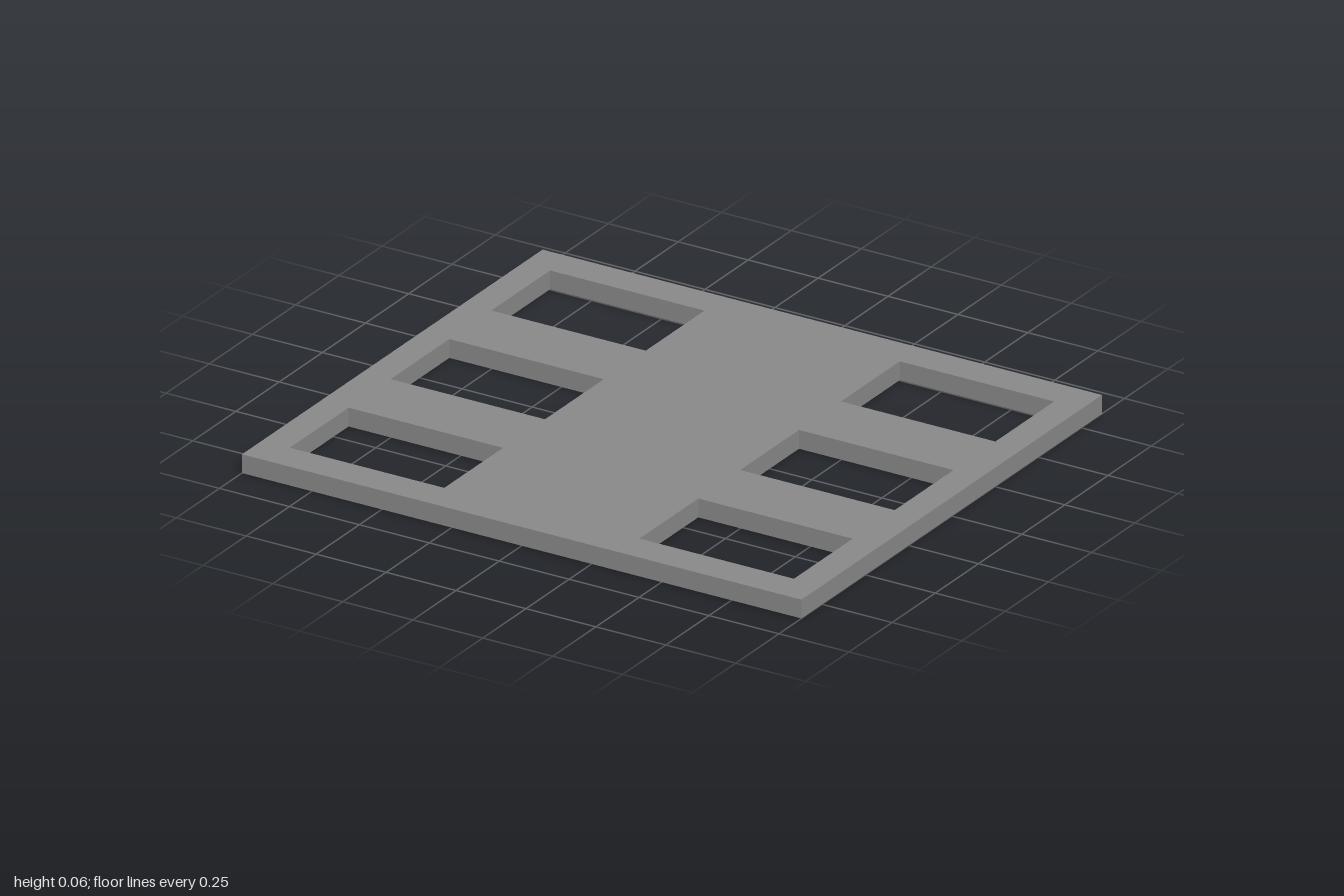
import * as THREE from 'three';

const WIDTH = 2, DEPTH = 1.74, THICKNESS = 0.063;
const HOLE_W = 0.552, HOLE_D = 0.34;
const HOLE_X = 0.625, HOLE_PITCH = 0.583;

// Traces a centred rectangle on a Shape or Path
function rect(path, cx, cy, w, h) {
  path.moveTo(cx - w / 2, cy - h / 2);
  path.lineTo(cx + w / 2, cy - h / 2);
  path.lineTo(cx + w / 2, cy + h / 2);
  path.lineTo(cx - w / 2, cy + h / 2);
  path.closePath();
  return path;
}

export function createModel() {
  const group = new THREE.Group();
  group.name = 'windowPanel';

  // Flat plate with two columns of three rectangular openings
  const outline = rect(new THREE.Shape(), 0, 0, WIDTH, DEPTH);
  for (const side of [-1, 1]) {
    for (const row of [-1, 0, 1]) {
      outline.holes.push(rect(new THREE.Path(), side * HOLE_X, row * HOLE_PITCH, HOLE_W, HOLE_D));
    }
  }
  const geometry = new THREE.ExtrudeGeometry(outline, { depth: THICKNESS, bevelEnabled: false });
  geometry.rotateX(-Math.PI / 2); // lay it flat, standing on y = 0

  const plate = new THREE.Mesh(geometry, new THREE.MeshStandardMaterial({ color: 0x888888 }));
  plate.name = 'plate';
  group.add(plate);
  return group;
}
